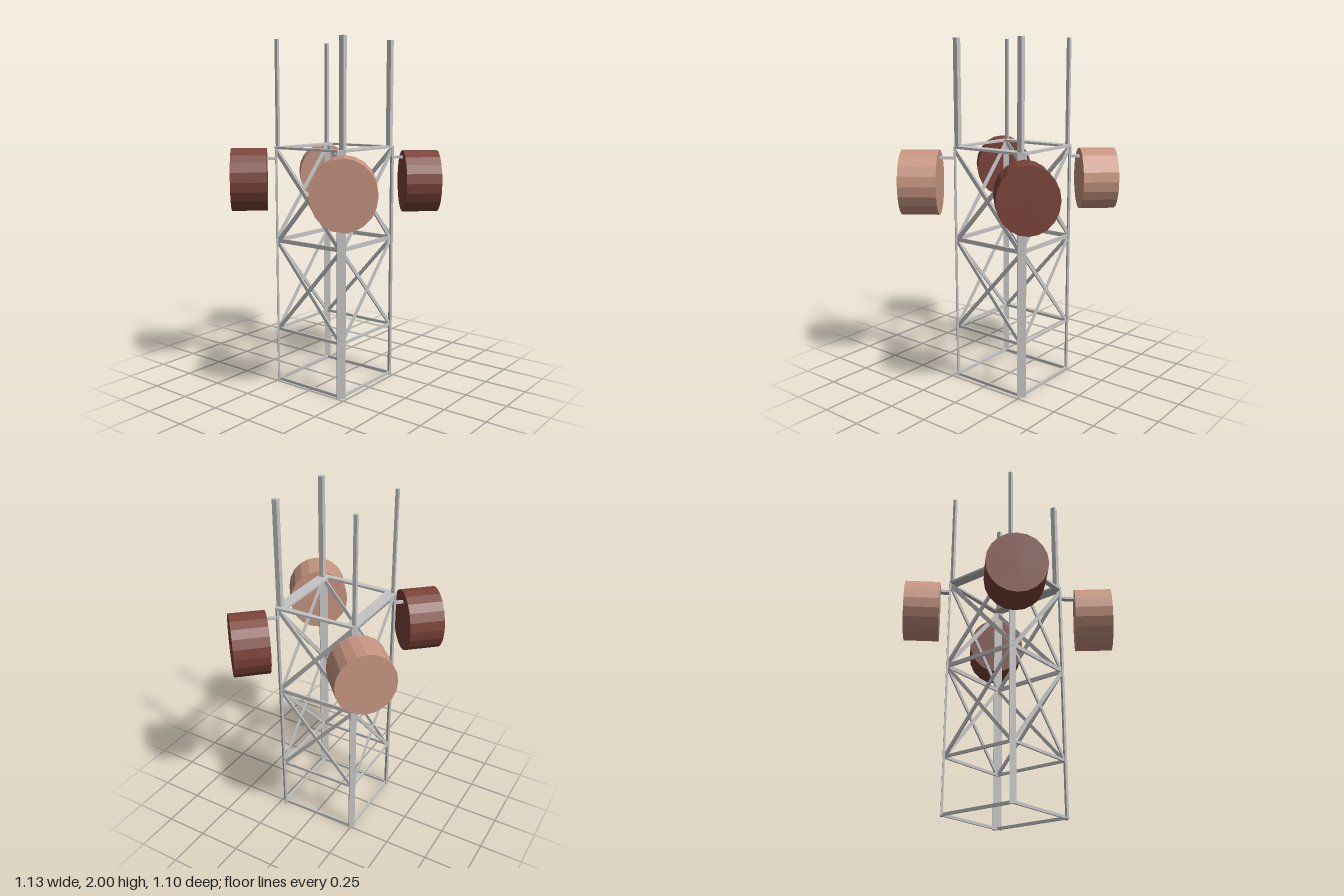
import * as THREE from 'three';

const material = (name, color) => {
  const m = new THREE.MeshStandardMaterial({ color });
  m.name = name;
  return m;
};

export function createModel() {
  const model = new THREE.Group();
  model.name = 'latticeTower';
  const steel = material('steelGrey', 0xc4c4c4);
  const peach = material('palePeach', 0xc89682);
  const red = material('darkRed', 0x7c443a);

  const add = (parent, name, geometry, mat) => {
    const mesh = new THREE.Mesh(geometry, mat);
    mesh.name = name;
    parent.add(mesh);
    return mesh;
  };

  // Straight flat bar from a to b; thickness runs along the given normal
  const bar = (parent, name, a, b, normal, width, thickness) => {
    const dir = b.clone().sub(a);
    const mesh = add(parent, name, new THREE.BoxGeometry(width, dir.length(), thickness), steel);
    dir.normalize();
    const side = dir.clone().cross(normal).normalize();
    const out = side.clone().cross(dir);
    mesh.quaternion.setFromRotationMatrix(new THREE.Matrix4().makeBasis(side, dir, out));
    mesh.position.copy(a).add(b).multiplyScalar(0.5);
  };

  // Corners in order around the tower, each with its leg, rod, arm and drum sizes
  const corners = [
    { name: 'frontLeft', x: 0.254, z: 0.222, leg: 0.05, rod: [0.238, 0.212, 0.028], arm: 0.02,
      drum: { at: [0.371, 1.19, 0.339], axis: [0.677, 0.737], length: 0.203, width: 0.333, height: 0.365, mat: red } },
    { name: 'backLeft', x: 0.242, z: -0.253, leg: 0.036, rod: [0.23, -0.247, 0.019], arm: 0.036,
      drum: { at: [0.358, 1.2, -0.361], axis: [0.737, -0.677], length: 0.203, width: 0.333, height: 0.358, mat: peach } },
    { name: 'backRight', x: -0.229, z: -0.252, leg: 0.034, rod: [-0.217, -0.249, 0.018], arm: 0.02,
      drum: { at: [-0.338, 1.212, -0.362], axis: [-0.67, -0.74], length: 0.203, width: 0.337, height: 0.362, mat: red } },
    { name: 'frontRight', x: -0.229, z: 0.218, leg: 0.05, rod: [-0.209, 0.212, 0.029], arm: 0.032,
      drum: { at: [-0.374, 1.193, 0.347], axis: [-0.817, 0.577], length: 0.215, width: 0.35, height: 0.376, mat: peach } },
  ];

  for (const c of corners) {
    const group = new THREE.Group();
    group.name = c.name + 'Corner';
    model.add(group);

    // Flat leg set across the corner
    const diagonal = new THREE.Vector3(Math.sign(c.x), 0, Math.sign(c.z)).normalize();
    bar(group, 'leg', new THREE.Vector3(c.x, 0, c.z), new THREE.Vector3(c.x, 1.4, c.z), diagonal, c.leg, 0.012);

    // Square rod above the tower
    const [rx, rz, size] = c.rod;
    add(group, 'topRod', new THREE.BoxGeometry(size, 0.61, size), steel).position.set(rx, 1.695, rz);

    // Drum lying on its side, pointing outward
    const d = c.drum;
    const drum = new THREE.CylinderGeometry(0.5, 0.5, d.length, 20).toNonIndexed();
    drum.rotateX(Math.PI / 2);
    drum.scale(d.width, d.height, 1);
    drum.rotateY(Math.atan2(d.axis[0], d.axis[1]));
    drum.computeVertexNormals();
    add(group, 'drum', drum, d.mat).position.set(...d.at);

    // Arm joining the leg to the drum
    bar(group, 'drumArm', new THREE.Vector3(c.x, 1.332, c.z),
      new THREE.Vector3(d.at[0], 1.332, d.at[2]), new THREE.Vector3(0, 1, 0), c.arm, 0.014);
  }

  // Horizontal rails and crossed braces on every side
  const sideNames = ['leftSide', 'backSide', 'rightSide', 'frontSide'];
  const lifts = [0.012, 0.015, -0.01, -0.01];
  corners.forEach((p, i) => {
    const q = corners[(i + 1) % 4];
    const side = new THREE.Group();
    side.name = sideNames[i];
    model.add(side);
    const at = (c, y) => new THREE.Vector3(c.x, y, c.z);
    const normal = new THREE.Vector3(q.z - p.z, 0, p.x - q.x).normalize();

    for (const [y, height] of [[0.009, 0.016], [0.32, 0.016], [0.854, 0.024]]) {
      bar(side, 'rail', at(p, y), at(q, y), normal, height, 0.01);
    }
    const lift = lifts[i];
    for (const [low, high, width] of [[0.315, 0.85, 0.02], [0.85 + lift, 1.385 + Math.min(lift, 0), 0.024]]) {
      bar(side, 'brace', at(p, low), at(q, high), normal, width, 0.008);
      bar(side, 'brace', at(p, high), at(q, low), normal, width, 0.008);
    }
  });

  // Flat top frame with clipped corners and a rectangular opening
  const points = (list) => list.map(([x, z]) => new THREE.Vector2(x, -z));
  const frame = new THREE.Shape(points([
    [-0.243, 0.2], [-0.22, 0.238], [0.247, 0.238], [0.274, 0.22],
    [0.256, -0.248], [0.237, -0.268], [-0.225, -0.268], [-0.239, -0.245],
  ]));
  frame.holes.push(new THREE.Path(points([
    [-0.208, 0.169], [-0.208, -0.205], [0.237, -0.205], [0.237, 0.169],
  ])));
  const frameGeometry = new THREE.ExtrudeGeometry(frame, { depth: 0.013, bevelEnabled: false });
  frameGeometry.rotateX(-Math.PI / 2);
  add(model, 'topFrame', frameGeometry, steel).position.y = 1.387;

  return model;
}
